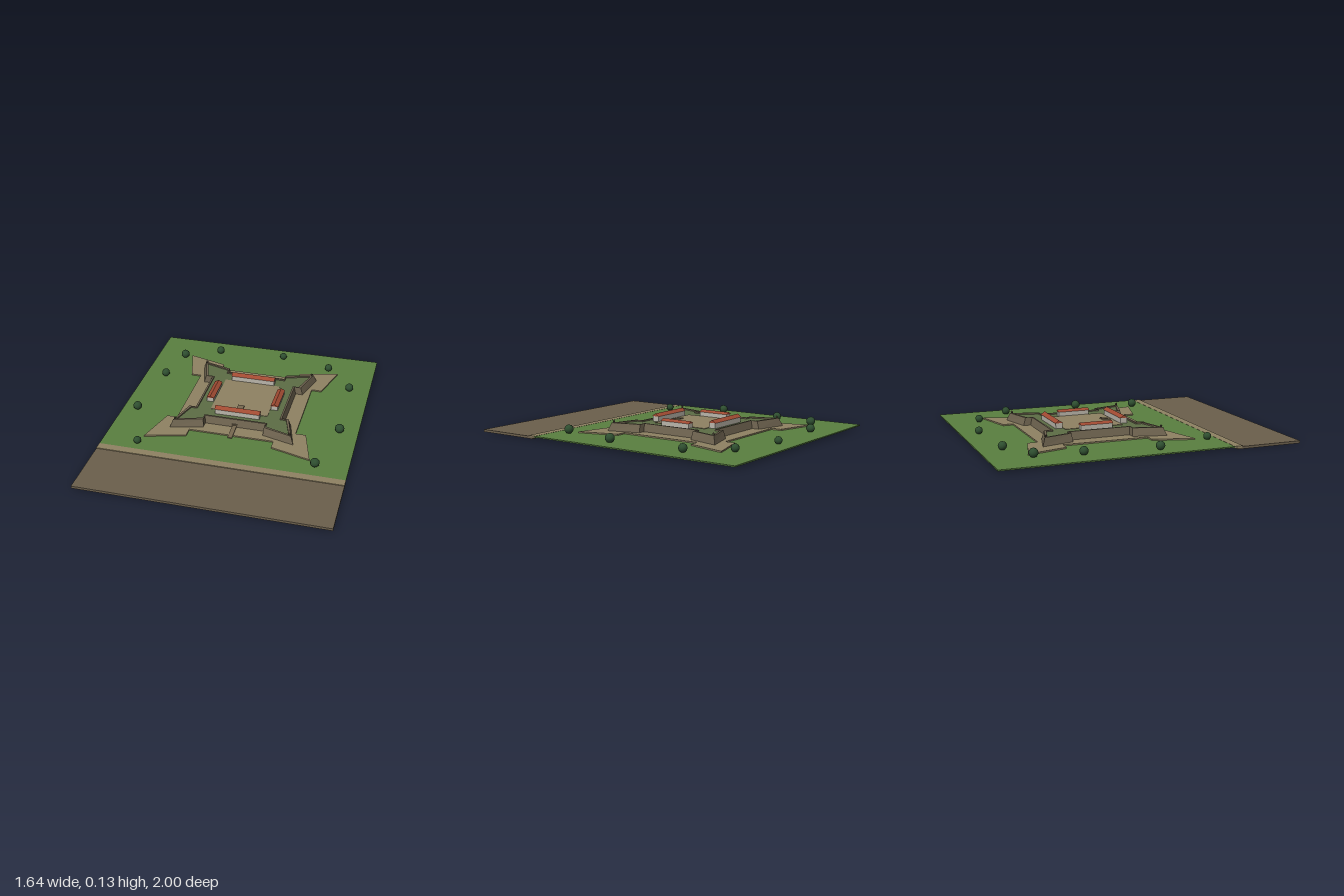
import * as THREE from 'three';

const mat = (name, color) => {
  const m = new THREE.MeshStandardMaterial({ color });
  m.name = name;
  return m;
};

export function createModel() {
  const grass = mat('grass green', 0x5a8040);
  const sand = mat('sandy earth', 0x8f8263);
  const mud = mat('river brown', 0x6b5f4c);
  const stone = mat('rampart stone', 0x6f6450);
  const turf = mat('rampart turf', 0x5d6e46);
  const plaster = mat('plaster', 0xbab5aa);
  const tile = mat('roof tile', 0xa04a32);
  const leaf = mat('foliage', 0x2f4f30);
  const timber = mat('timber', 0x75674f);
  const dark = mat('sentry stone', 0x4d4538);
  stone.side = THREE.DoubleSide;

  const model = new THREE.Group();
  model.name = 'starFort';
  const add = (parent, name, geo, material, x = 0, y = 0, z = 0) => {
    const m = new THREE.Mesh(geo, material);
    m.name = name;
    m.position.set(x, y, z);
    parent.add(m);
    return m;
  };
  // Box given by its extents
  const slab = (parent, name, material, x0, x1, y0, y1, z0, z1) =>
    add(parent, name, new THREE.BoxGeometry(x1 - x0, y1 - y0, z1 - z0), material,
      (x0 + x1) / 2, (y0 + y1) / 2, (z0 + z1) / 2);

  // Land, shore and river
  slab(model, 'ground', grass, -0.82, 0.82, 0.012, 0.02, -1, 0.53);
  slab(model, 'shore', sand, -0.82, 0.82, 0.008, 0.021, 0.525, 0.58);
  slab(model, 'river', mud, -0.82, 0.82, 0, 0.016, 0.545, 1);

  const fort = new THREE.Group();
  fort.name = 'fort';
  fort.position.z = -0.183;
  model.add(fort);

  // Four-bastion outline: curtain c, flank s, shoulder f, tip t
  const star = (c, s, f, t) => {
    const pts = [];
    const corner = [[c, s], [f, s], [t, t], [s, f], [s, c]];
    for (let k = 0; k < 4; k++) {
      for (const [x, y] of corner) {
        const a = (k * Math.PI) / 2, cs = Math.cos(a), sn = Math.sin(a);
        pts.push(new THREE.Vector2(x * cs - y * sn, x * sn + y * cs));
      }
    }
    return pts;
  };
  // Flat-shaded band joining successive outlines
  const band = (rings) => {
    const pos = [];
    for (let r = 0; r + 1 < rings.length; r++) {
      const [A, ya] = rings[r], [B, yb] = rings[r + 1];
      A.forEach((p, i) => {
        const j = (i + 1) % A.length;
        const a = [p.x, ya, -p.y], b = [A[j].x, ya, -A[j].y];
        const c = [B[j].x, yb, -B[j].y], d = [B[i].x, yb, -B[i].y];
        pos.push(...a, ...b, ...c, ...a, ...c, ...d);
      });
    }
    const g = new THREE.BufferGeometry();
    g.setAttribute('position', new THREE.Float32BufferAttribute(pos, 3));
    g.computeVertexNormals();
    return g;
  };

  // Raised earth apron around the walls
  const apron = new THREE.ExtrudeGeometry(new THREE.Shape(star(0.415, 0.29, 0.485, 0.56)),
    { depth: 0.01, bevelEnabled: false });
  apron.rotateX(-Math.PI / 2);
  add(fort, 'apron', apron, sand, 0, 0.019, 0);

  // Sloping ramparts with a low parapet, and the turf inside
  const inner = star(0.29, 0.217, 0.333, 0.386);
  add(fort, 'ramparts', band([
    [star(0.315, 0.205, 0.365, 0.425), 0.028],
    [star(0.302, 0.21, 0.349, 0.405), 0.082],
    [inner, 0.082],
    [inner, 0.072],
  ]), stone);
  const lawn = new THREE.ShapeGeometry(new THREE.Shape(inner));
  lawn.rotateX(-Math.PI / 2);
  add(fort, 'terrace', lawn, turf, 0, 0.073, 0);
  slab(fort, 'courtyard', sand, -0.2, 0.2, 0.07, 0.076, -0.2, 0.2);

  // Sentry posts on the bastion tips
  for (const sx of [-1, 1]) {
    for (const sz of [-1, 1]) {
      add(fort, 'sentryPost', new THREE.CylinderGeometry(0.007, 0.007, 0.018, 6), dark,
        sx * 0.394, 0.085, sz * 0.394);
      add(fort, 'sentryCap', new THREE.ConeGeometry(0.009, 0.008, 6), dark,
        sx * 0.394, 0.097, sz * 0.394);
    }
  }

  // Barracks with gabled roofs
  const barrack = (x, z, length, eave, ridge, turn) => {
    const g = new THREE.Group();
    g.name = 'barrack';
    g.position.set(x, 0, z);
    g.rotation.y = turn;
    slab(g, 'walls', plaster, -length / 2 + 0.003, length / 2 - 0.003, 0.072, eave, -0.023, 0.023);
    const gable = new THREE.Shape([
      new THREE.Vector2(-0.027, 0), new THREE.Vector2(0.027, 0), new THREE.Vector2(0, ridge - eave),
    ]);
    const roof = new THREE.ExtrudeGeometry(gable, { depth: length, bevelEnabled: false });
    roof.translate(0, 0, -length / 2).rotateY(Math.PI / 2);
    add(g, 'roof', roof, tile, 0, eave, 0);
    fort.add(g);
  };
  for (const s of [-1, 1]) {
    barrack(0, s * 0.228, 0.315, 0.109, 0.128, 0);
    barrack(s * 0.228, 0, 0.225, 0.104, 0.118, Math.PI / 2);
  }

  // Gate, bridge and courtyard ramp
  slab(fort, 'gate', timber, -0.02, 0.02, 0.028, 0.05, 0.3, 0.316);
  const bridge = slab(fort, 'bridge', timber, -0.015, 0.015, 0.031, 0.037, 0.308, 0.448);
  bridge.rotation.x = 0.08;
  const ramp = slab(fort, 'ramp', timber, -0.024, 0.02, 0.075, 0.083, 0.123, 0.188);
  ramp.rotation.x = 0.14;

  // Rounded trees: x, z, radius
  const trees = [
    [-0.61, -0.725, 0.031], [-0.365, -0.85, 0.029], [0.12, -0.88, 0.026], [0.482, -0.79, 0.027],
    [0.675, -0.545, 0.029], [0.693, 0, 0.032], [0.603, 0.423, 0.031], [-0.578, 0.455, 0.026],
    [-0.717, 0.06, 0.03], [-0.669, -0.425, 0.029],
  ];
  trees.forEach(([x, z, r], i) => {
    const t = add(model, 'tree', new THREE.IcosahedronGeometry(r, 1), leaf, x, 0.016 + r, z);
    t.rotation.y = i * 1.3;
  });
  return model;
}
